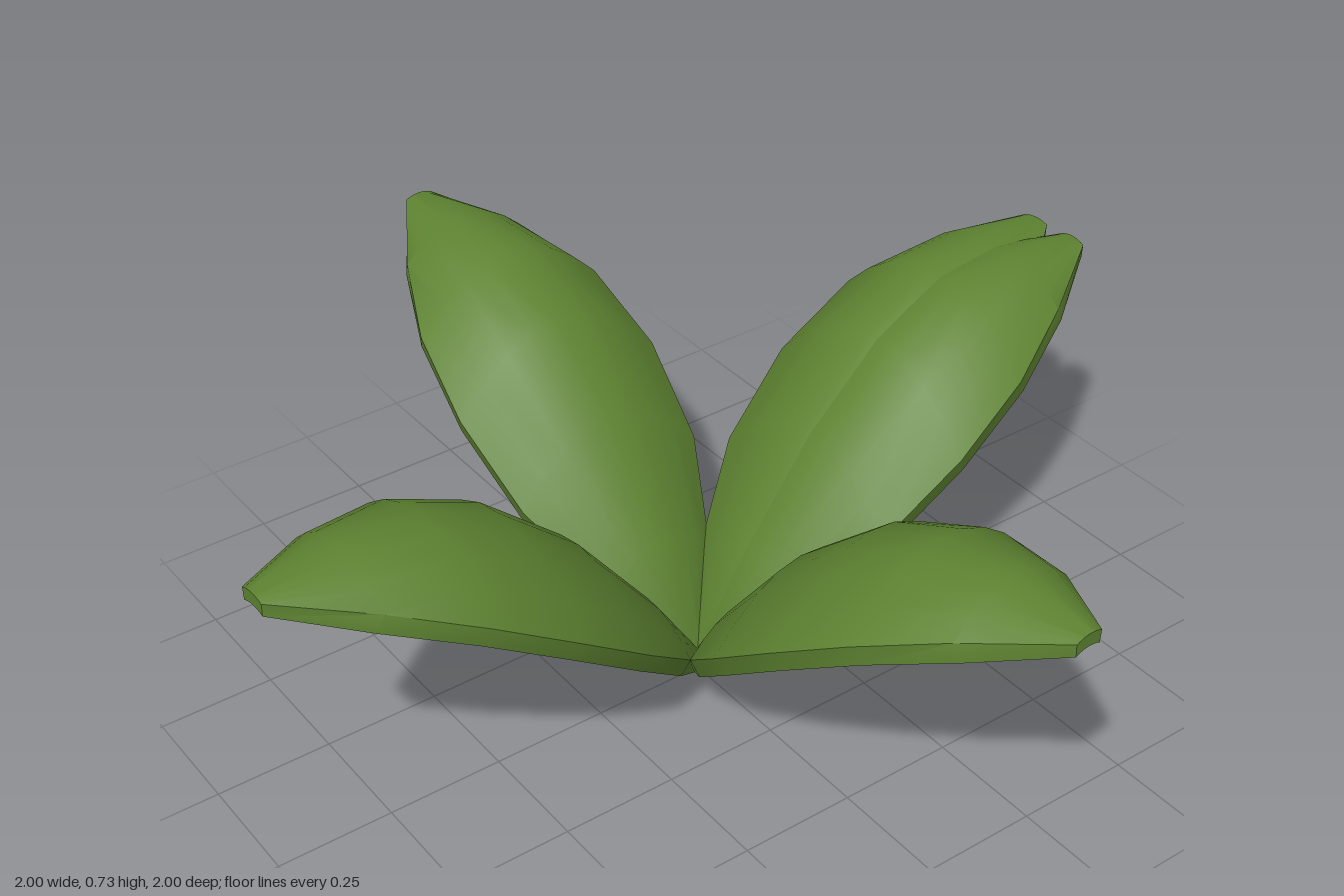
import * as THREE from 'three';
import { toCreasedNormals } from 'three/addons/utils/BufferGeometryUtils.js';

// Leaf stations: reach, half width, height of the ridge, height of the edge
const STATIONS = [
  [0, 0.015, 0.05, 0.04],
  [0.13, 0.135, 0.25, 0.175],
  [0.3, 0.225, 0.47, 0.335],
  [0.48, 0.25, 0.63, 0.475],
  [0.655, 0.225, 0.713, 0.585],
  [0.825, 0.145, 0.728, 0.655],
  [1, 0.032, 0.705, 0.698],
];
const ACROSS = 8;

// Arched shell of even thickness, growing from the origin along +z
function leafGeometry() {
  const positions = [], index = [];
  const ring = 2 * (ACROSS + 1), last = STATIONS.length - 1;

  STATIONS.forEach(([reach, half, ridge, edge], i) => {
    const out = i === 0 || i === last ? 0 : 0.02;
    const drop = i === 0 ? 0.04 : i === last ? 0.028 : 0.036;
    for (let k = 0; k < ring; k++) {
      const under = k > ACROSS;
      const t = ((under ? ring - 1 - k : k) / ACROSS) * 2 - 1;
      const y = edge + (ridge - edge) * (1 - t * t);
      if (under) positions.push(t * half * 0.95, y - drop, reach + out);
      else positions.push(t * half, y, reach);
    }
  });

  // Upper face, underside and rims
  for (let i = 0; i < last; i++) {
    for (let k = 0; k < ring; k++) {
      const a = i * ring + k, b = i * ring + (k + 1) % ring;
      index.push(a, a + ring, b + ring, a, b + ring, b);
    }
  }
  // End caps at the tip and the base
  for (let k = 0; k < ACROSS; k++) {
    const tip = last * ring, m = ring - 1 - k;
    index.push(tip + k, tip + m, tip + m - 1, tip + k, tip + m - 1, tip + k + 1);
    index.push(k, m - 1, m, k, k + 1, m - 1);
  }

  const geometry = new THREE.BufferGeometry();
  geometry.setAttribute('position', new THREE.Float32BufferAttribute(positions, 3));
  geometry.setIndex(index);
  return toCreasedNormals(geometry, 0.8);
}

export function createModel() {
  const plant = new THREE.Group();
  plant.name = 'leafyPlant';
  const leafGreen = new THREE.MeshStandardMaterial({ color: 0x5d8231 });
  leafGreen.name = 'leafGreen';
  const geometry = leafGeometry();

  // Heading of each leaf around the root
  const leaves = {
    frontLeaf: 0.087,
    leftLeaf: Math.PI / 2,
    leftRearLeaf: Math.PI / 2 + 0.11,
    backLeaf: Math.PI + 0.03,
    rightLeaf: -Math.PI / 2 + 0.055,
  };
  for (const [name, heading] of Object.entries(leaves)) {
    const leaf = new THREE.Mesh(geometry, leafGreen);
    leaf.name = name;
    leaf.rotation.y = heading;
    plant.add(leaf);
  }
  return plant;
}
